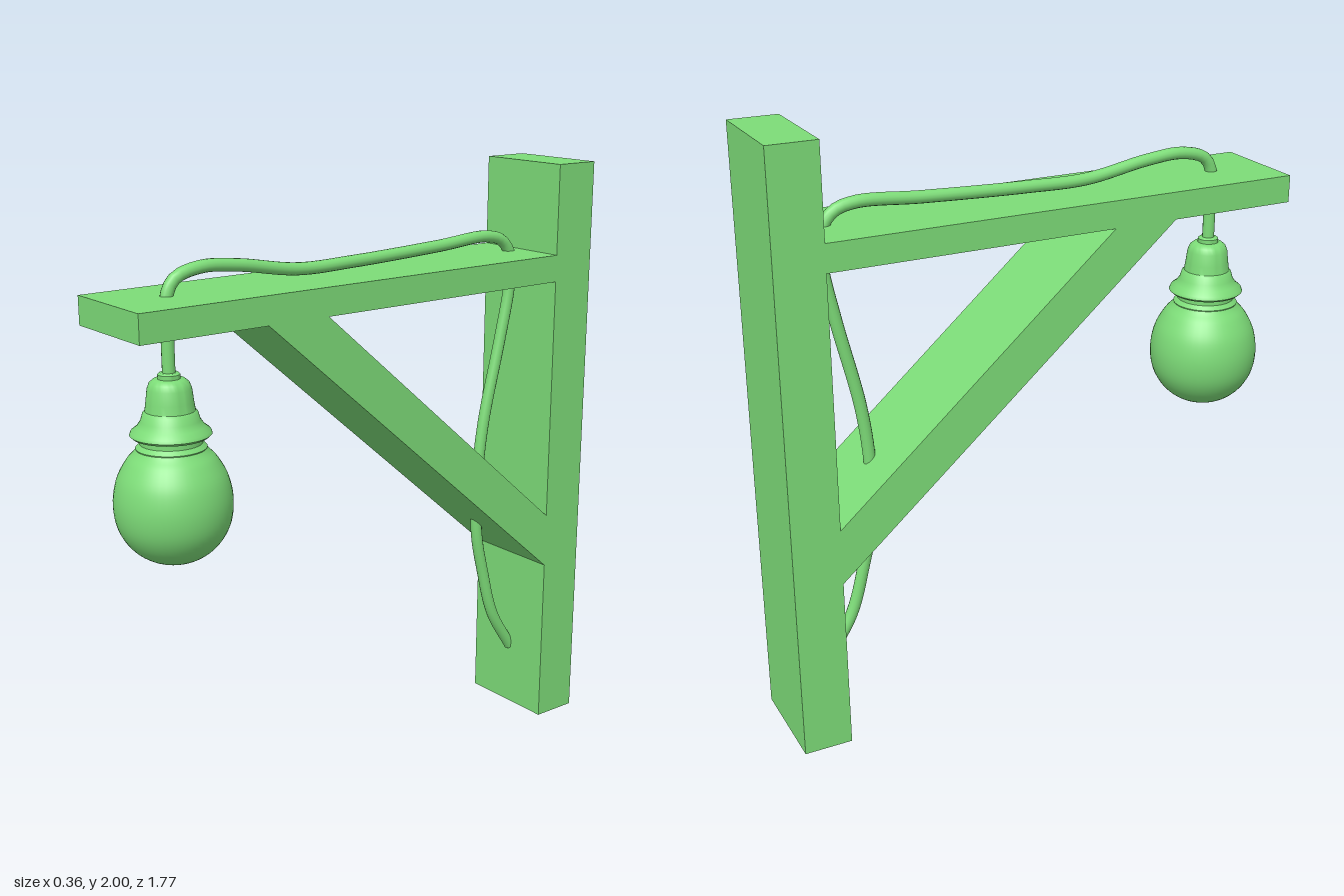
import * as THREE from 'three';
import { toCreasedNormals } from 'three/addons/utils/BufferGeometryUtils.js';

const WIDTH = 0.347;
const LAMP_Z = 0.69;

export function createModel() {
  const model = new THREE.Group();
  model.name = 'wallLamp';
  const green = new THREE.MeshStandardMaterial({ color: 0x7ddc78 });
  const greenOpen = new THREE.MeshStandardMaterial({ color: 0x7ddc78, side: THREE.DoubleSide });

  const add = (name, geometry, material = green) => {
    const mesh = new THREE.Mesh(geometry, material);
    mesh.name = name;
    model.add(mesh);
    return mesh;
  };

  // Extrude a side outline of [z, y] points across the width
  const plank = (name, points) => {
    const shape = new THREE.Shape(points.map(([z, y]) => new THREE.Vector2(-z, y)));
    const geometry = new THREE.ExtrudeGeometry(shape, { depth: WIDTH, bevelEnabled: false });
    geometry.translate(0, 0, -WIDTH / 2).rotateY(Math.PI / 2);
    return add(name, geometry);
  };

  // Timber frame
  plank('post', [[-0.885, 0], [-0.725, 0], [-0.725, 2], [-0.885, 2]]);
  plank('beam', [[-0.725, 1.61], [0.885, 1.61], [0.885, 1.7], [-0.725, 1.7]]);
  plank('brace', [[-0.725, 0.59], [0.45, 1.61], [0.23, 1.61], [-0.725, 0.777]]);

  // Lathe a smooth profile of [radius, y] points around the lamp axis
  const turned = (name, points, crease) => {
    let geometry = new THREE.LatheGeometry(points.map(([r, y]) => new THREE.Vector2(r, y)), 48);
    if (crease) geometry = toCreasedNormals(geometry, crease);
    const mesh = add(name, geometry, greenOpen);
    mesh.position.set(-0.003, 0, LAMP_Z);
    return mesh;
  };

  // Glass bulb: rounded bottom drawn in towards the neck
  const bulbCurve = new THREE.SplineCurve([
    [0, 0.88], [0.07, 0.892], [0.13, 0.932], [0.17, 0.995], [0.182, 1.07],
    [0.17, 1.145], [0.14, 1.203], [0.112, 1.235], [0.09, 1.265],
  ].map(([r, y]) => new THREE.Vector2(r, y)));
  turned('bulb', bulbCurve.getPoints(40).map((p) => [Math.max(p.x, 0), p.y]));

  // Socket: threaded collar, flared skirt, body and cord cap
  turned('socketCollar', [[0.085, 1.23], [0.105, 1.235], [0.108, 1.245], [0.095, 1.258], [0.095, 1.285]], 0.7);
  turned('socket', [
    [0.08, 1.275], [0.115, 1.278], [0.124, 1.286], [0.12, 1.296], [0.103, 1.309],
    [0.09, 1.328], [0.083, 1.352], [0.076, 1.358], [0.072, 1.385], [0.067, 1.425],
    [0.06, 1.443], [0.048, 1.453], [0.034, 1.455], [0.034, 1.468], [0.028, 1.473], [0, 1.473],
  ], 0.7);

  // Cord: up from the socket, along the beam and down the post, as [x, y, z]
  const cordPath = new THREE.CatmullRomCurve3([
    [-0.003, 1.46, 0.69], [-0.003, 1.6, 0.69], [-0.003, 1.7, 0.688], [-0.003, 1.747, 0.66],
    [-0.003, 1.773, 0.57], [-0.003, 1.765, 0.44], [-0.003, 1.73, 0.22], [-0.003, 1.731, 0],
    [-0.003, 1.745, -0.35], [-0.003, 1.757, -0.57], [-0.003, 1.735, -0.64], [-0.003, 1.68, -0.677],
    [-0.005, 1.58, -0.68], [-0.008, 1.4, -0.647], [-0.01, 1.1, -0.58], [-0.01, 0.9, -0.558],
    [-0.01, 0.7, -0.561], [-0.009, 0.54, -0.595], [-0.006, 0.37, -0.644], [-0.003, 0.22, -0.735],
  ].map((p) => new THREE.Vector3(...p)));
  add('cord', new THREE.TubeGeometry(cordPath, 140, 0.02, 14), greenOpen);

  return model;
}
